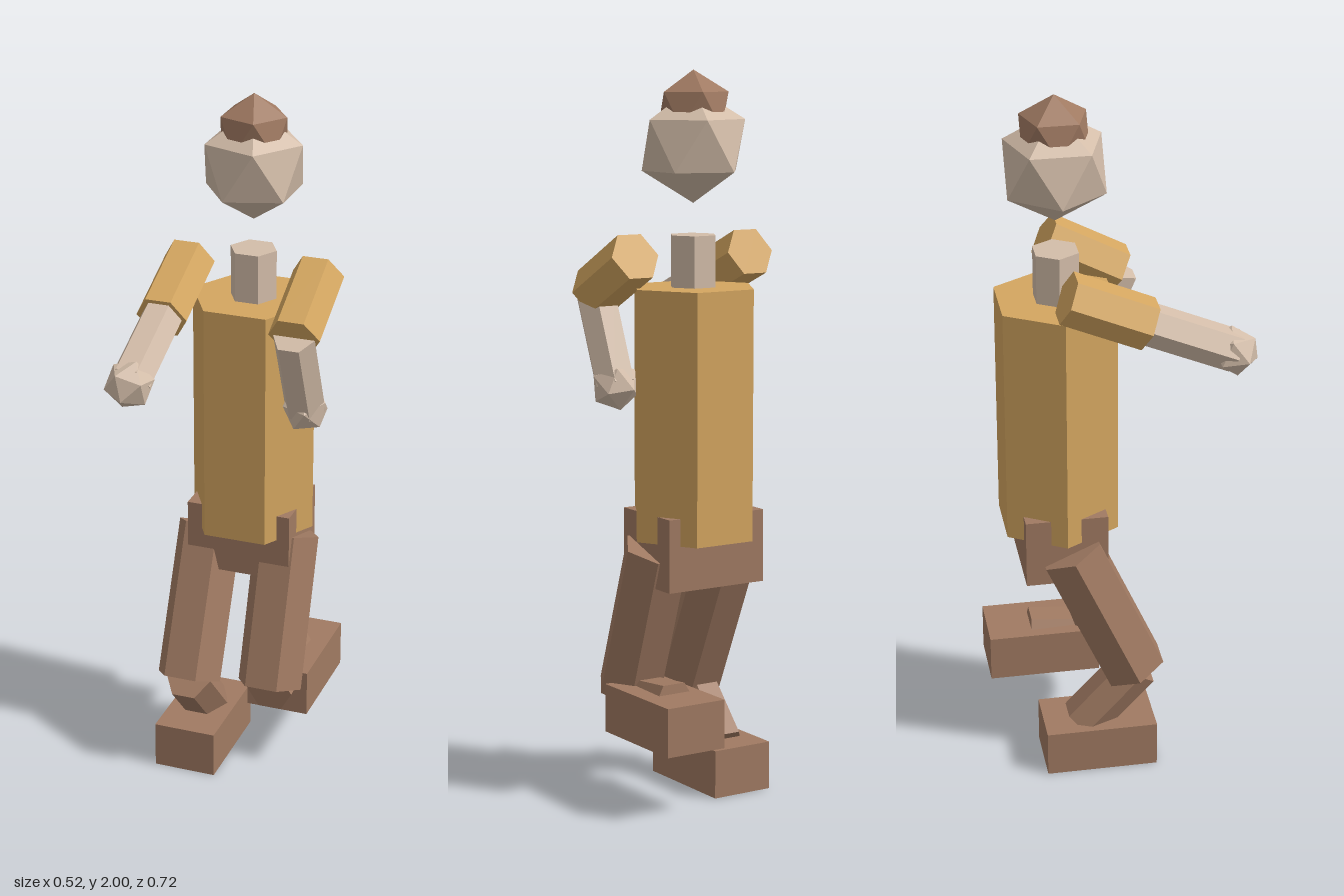
import * as THREE from 'three';

const material = (name, color) => {
  const m = new THREE.MeshStandardMaterial({ color, flatShading: true });
  m.name = name;
  return m;
};

export function createModel() {
  const model = new THREE.Group();
  const ochre = material('ochre shirt', 0xd4a660);
  const brown = material('brown cloth', 0xa07a62);
  const skin = material('pale skin', 0xd3bda9);
  const UP = new THREE.Vector3(0, 1, 0);

  const add = (name, geometry, mat, x, y, z) => {
    const mesh = new THREE.Mesh(geometry, mat);
    mesh.name = name;
    mesh.position.set(x, y, z);
    model.add(mesh);
    return mesh;
  };

  // Six-sided prism with flat faces front and back
  const hex = (r, h) => new THREE.CylinderGeometry(r, r, h, 6).rotateY(Math.PI / 6);

  // Icosahedron standing on a corner
  const ico = (r) => new THREE.IcosahedronGeometry(r, 0).rotateZ(-Math.atan2(2, 1 + Math.sqrt(5)));

  // Prism between two joints; a and b are [y, z]
  const limb = (name, mat, r, x, a, b) => {
    const dir = new THREE.Vector3(0, a[0] - b[0], a[1] - b[1]);
    const mesh = add(name, hex(r, dir.length()), mat, x, (a[0] + b[0]) / 2, (a[1] + b[1]) / 2);
    mesh.quaternion.setFromUnitVectors(UP, dir.normalize());
    return mesh;
  };

  // Trunk and head
  add('torso', hex(0.18, 0.685), ochre, 0, 1.0775, -0.16);
  add('hips', new THREE.BoxGeometry(0.305, 0.2, 0.23), brown, -0.003, 0.71, -0.158);
  add('neck', hex(0.067, 0.2), skin, 0, 1.46, -0.158);
  add('head', ico(0.155), skin, 0, 1.8, -0.158);
  add('hair', ico(0.105), brown, 0, 1.895, -0.158);

  // Arms and legs, joints from top to bottom
  const sides = [
    {
      side: 'left', armX: 0.187, legX: 0.108,
      shoulder: [1.51, -0.162], elbow: [1.4, 0.043], wrist: [1.152, -0.06],
      hip: [0.71, -0.148], knee: [0.285, -0.005],
      shinTop: [0.265, 0], ankle: [0.287, -0.236], foot: [0.119, 0.252, -0.199],
    },
    {
      side: 'right', armX: -0.187, legX: -0.124,
      shoulder: [1.506, -0.158], elbow: [1.412, 0.06], wrist: [1.312, 0.295],
      hip: [0.7, -0.145], knee: [0.288, 0.038],
      shinTop: [0.288, 0.045], ankle: [0.115, -0.115], foot: [-0.121, 0.0675, -0.07],
    },
  ];
  for (const s of sides) {
    limb(s.side + 'UpperArm', ochre, 0.073, s.armX, s.shoulder, s.elbow);
    const forearm = limb(s.side + 'Forearm', skin, 0.059, s.armX, s.elbow, s.wrist);
    add(s.side + 'Hand', ico(0.069), skin, s.armX, ...s.wrist).quaternion.copy(forearm.quaternion);
    limb(s.side + 'Thigh', brown, 0.095, s.legX, s.hip, s.knee);
    limb(s.side + 'Shin', brown, 0.068, s.legX, s.shinTop, s.ankle);
    add(s.side + 'Foot', new THREE.BoxGeometry(0.182, 0.135, 0.318), brown, ...s.foot);
  }

  return model;
}
